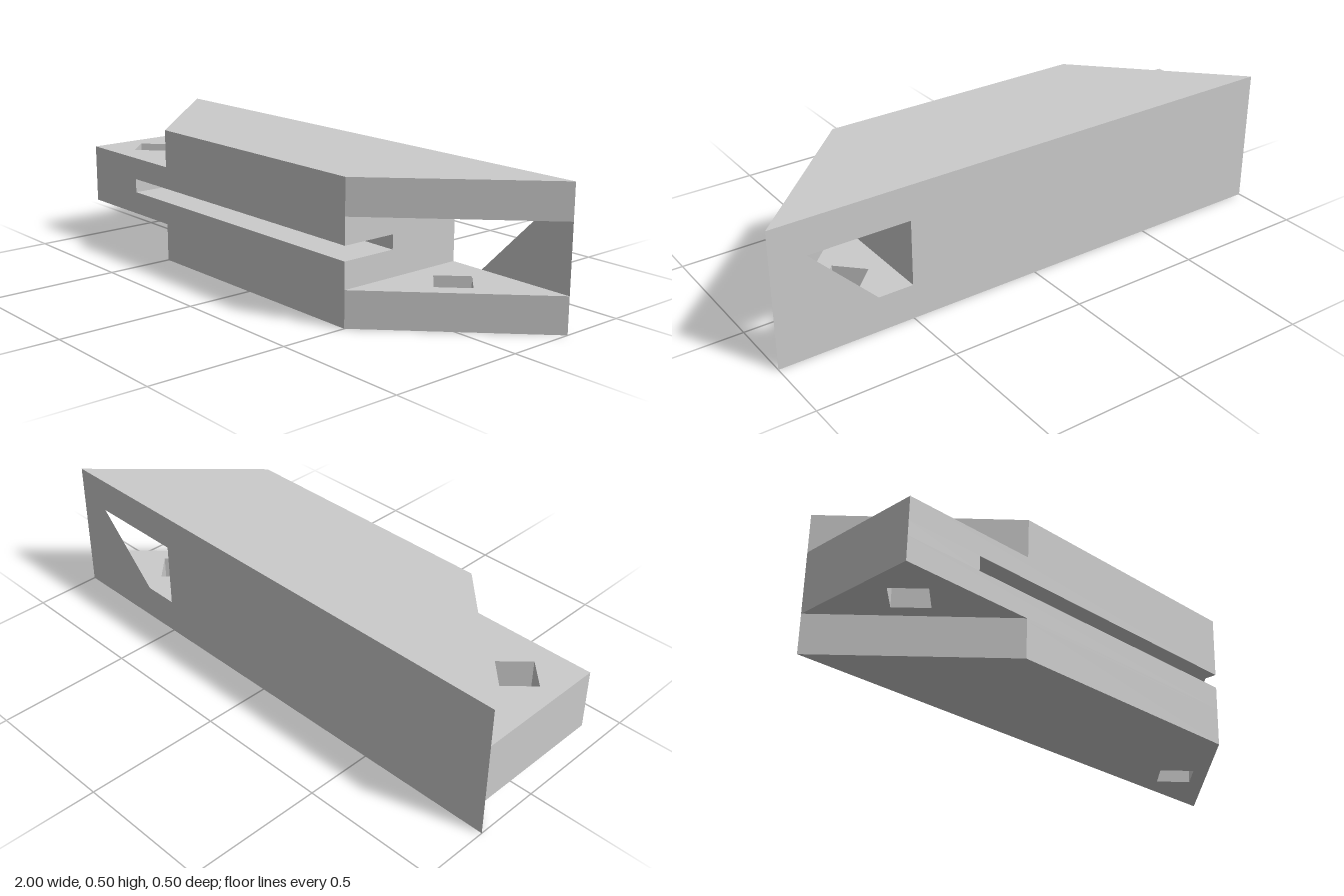
import * as THREE from 'three';

const material = new THREE.MeshStandardMaterial({ color: 0xcccccc, flatShading: true });

// Diamond peg hole, half diagonal 0.09
function diamond(x, z, r = 0.09) {
  return [[x - r, z], [x, z - r], [x + r, z], [x, z + r]];
}

// Horizontal slab with a plan outline of [x, z] points, from y0 to y1
function slab(name, outline, y0, y1, hole) {
  const toPlan = (points) => points.map(([x, z]) => new THREE.Vector2(x, -z));
  const shape = new THREE.Shape(toPlan(outline));
  if (hole) shape.holes.push(new THREE.Path(toPlan(hole)));
  const geometry = new THREE.ExtrudeGeometry(shape, { depth: y1 - y0, bevelEnabled: false });
  geometry.rotateX(-Math.PI / 2).translate(0, y0, 0);
  const mesh = new THREE.Mesh(geometry, material);
  mesh.name = name;
  return mesh;
}

export function createModel() {
  const group = new THREE.Group();
  group.name = 'mitredFrameRail';

  // Plan outlines
  const mitred = [[-1, -0.25], [-0.5, 0.25], [0.5, 0.25], [1, -0.25]];
  const core = [[-1, -0.25], [-0.5, 0.25], [0.5, 0.25], [0.5, -0.25]];
  const withTongue = [[-1, -0.25], [-1, 0.25], [0.5, 0.25], [0.5, -0.25]];
  const grooved = [[-1, -0.25], [-1, 0.25], [-0.71, 0.25], [-0.71, 0.04], [0.5, 0.04], [0.5, -0.25]];
  const tongueHole = diamond(-0.84, 0.08);
  const shelfHole = diamond(0.66, -0.08);

  // Layers from bottom to top: cheeks around the mortise, tongue and panel groove
  group.add(
    slab('lowerCheek', mitred, 0, 0.13, shelfHole),
    slab('lowerCore', core, 0.13, 0.14),
    slab('lowerTongue', withTongue, 0.14, 0.225, tongueHole),
    slab('grooveLayer', grooved, 0.225, 0.277, tongueHole),
    slab('upperTongue', withTongue, 0.277, 0.36, tongueHole),
    slab('upperCore', core, 0.36, 0.372),
    slab('upperCheek', mitred, 0.372, 0.5),
  );

  // Thin web closing part of the mortise at the back
  const web = new THREE.Shape([[0.63, 0.13], [1, 0.13], [1, 0.372], [0.872, 0.372]]
    .map(([x, y]) => new THREE.Vector2(x, y)));
  const webMaterial = material.clone();
  webMaterial.side = THREE.DoubleSide;
  const backWeb = new THREE.Mesh(new THREE.ShapeGeometry(web), webMaterial);
  backWeb.name = 'backWeb';
  backWeb.position.z = -0.25;
  group.add(backWeb);

  return group;
}
